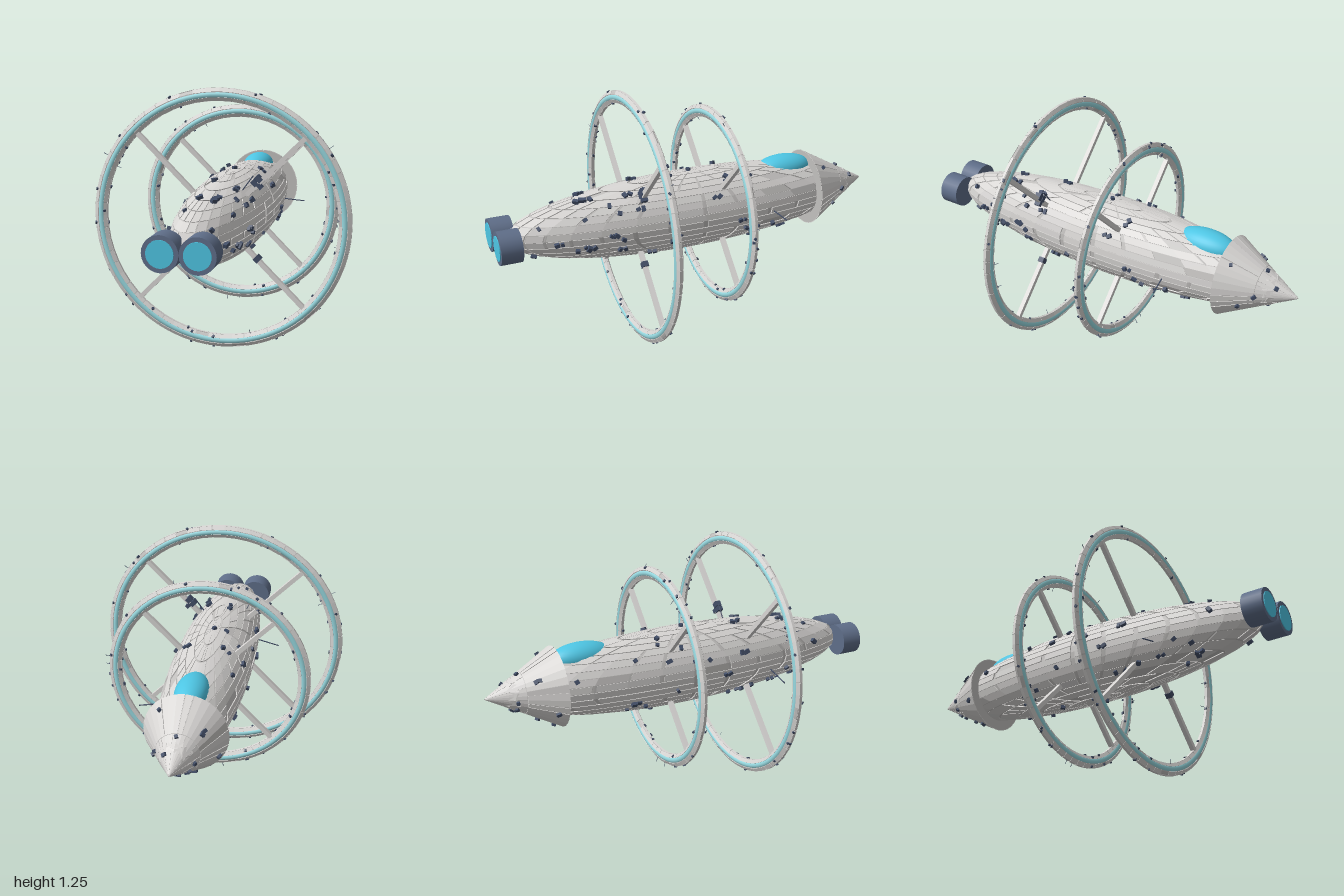
import * as THREE from 'three';
import { mergeGeometries } from 'three/addons/utils/BufferGeometryUtils.js';

const V = (x, y, z) => new THREE.Vector3(x, y, z);
const TAU = Math.PI * 2;

export function createModel() {
  const mat = (name, color, extra = {}) => {
    const m = new THREE.MeshStandardMaterial({ color, ...extra });
    m.name = name;
    return m;
  };
  const plating = mat('plating', 0xd8d6d4, { flatShading: true });
  const hull = mat('seam grey', 0xc2c0be, { flatShading: true });
  const steel = mat('engine steel', 0x5f6e89);
  const dark = mat('dark fittings', 0x434f68);
  const glow = mat('blue glow', 0x4ec6e4);
  const pale = mat('pale ring blue', 0x98dae1);

  let seed = 7;
  const rnd = (a = 0, b = 1) => {
    seed = (seed * 16807) % 2147483647;
    return a + (b - a) * (seed / 2147483647);
  };

  // everything is built around the long axis, then lifted
  const ship = new THREE.Group();
  ship.name = 'ship';
  ship.position.y = 0.627;
  const add = (name, geo, material, x = 0, y = 0, z = 0) => {
    const m = new THREE.Mesh(geo, material);
    m.name = name;
    m.position.set(x, y, z);
    ship.add(m);
    return m;
  };

  // raised plates over a surface given as surf(u, v, height), u and v in 0..1
  const plates = (surf, nu, nv, gapU, gapV, height, skip = () => false) => {
    const pos = [];
    const quad = (a, b, c, d) => [a, b, c, a, c, d].forEach(p => pos.push(p.x, p.y, p.z));
    for (let j = 0; j < nv; j++) {
      const seams = Array.from({ length: nu }, () => (rnd() < 0.5 ? gapU : 0));
      for (let i = 0; i < nu; i++) {
        if (skip(j) || rnd() < 0.03) continue;
        const u0 = (i + seams[i]) / nu, u1 = (i + 1 - seams[(i + 1) % nu]) / nu;
        const v0 = (j + gapV) / nv, v1 = (j + 1 - gapV) / nv;
        const ring = k => [surf(u0, v0, k), surf(u1, v0, k), surf(u1, v1, k), surf(u0, v1, k)];
        const lo = ring(-0.002), hi = ring(height);
        quad(...hi);
        for (let k = 0; k < 4; k++) quad(lo[k], lo[(k + 1) % 4], hi[(k + 1) % 4], hi[k]);
      }
    }
    const g = new THREE.BufferGeometry();
    g.setAttribute('position', new THREE.Float32BufferAttribute(pos, 3));
    g.computeVertexNormals();
    return g;
  };

  // small boxes or rods standing on a surface
  const fitting = (p, n, w, d, h) => {
    const g = new THREE.BoxGeometry(w, h, d);
    g.rotateY(rnd(0, TAU));
    g.translate(0, h * 0.3, 0);
    g.applyQuaternion(new THREE.Quaternion().setFromUnitVectors(V(0, 1, 0), n.clone().normalize()));
    return g.translate(p.x, p.y, p.z);
  };
  const rod = (name, a, b, r) => {
    const d = b.clone().sub(a);
    const m = add(name, new THREE.CylinderGeometry(r, r, d.length(), 6), dark);
    m.position.copy(a).add(b).multiplyScalar(0.5);
    m.quaternion.setFromUnitVectors(V(0, 1, 0), d.normalize());
  };

  // long spindle body
  const R = 0.19, L = 0.94;
  const bodySurf = (u, v, h) => {
    const a = u * TAU, b = (v - 0.5) * Math.PI;
    return V((R + h) * Math.cos(b) * Math.sin(a), (R + h) * Math.sin(b), (L + h) * Math.cos(b) * Math.cos(a));
  };
  const core = new THREE.SphereGeometry(1, 32, 18);
  core.scale(R, R, L);
  add('bodyCore', core, hull);
  add('bodyPlates', plates(bodySurf, 32, 18, 0.07, 0.05, 0.005), plating);

  const bodyBits = [];
  for (let i = 0; i < 60; i++) {
    const z = rnd(-0.6, 0.85), a = rnd(0, TAU), r = R * Math.sqrt(1 - (z / L) ** 2);
    const p = V(r * Math.cos(a), r * Math.sin(a), z);
    const n = V(p.x / R ** 2, p.y / R ** 2, p.z / L ** 2);
    if (Math.abs(p.x) < 0.09 && p.y > 0 && z < -0.35) continue;
    const count = rnd() < 0.4 ? 2 : 1;
    for (let k = 0; k < count; k++) {
      const q = p.clone().add(V(0, 0, k * 0.026));
      bodyBits.push(fitting(q, n, rnd(0.014, 0.028), rnd(0.014, 0.022), rnd(0.016, 0.026)));
    }
  }
  add('bodyFittings', mergeGeometries(bodyBits), dark);

  // nose cone with closed base
  const coneSurf = (u, v, h) => {
    const a = u * TAU, r = (1 - v) * 0.192 + h;
    return V(r * Math.cos(a), -r * Math.sin(a), -0.65 - 0.345 * v);
  };
  const cone = new THREE.ConeGeometry(0.192, 0.35, 32);
  cone.rotateX(-Math.PI / 2);
  add('noseCone', cone, hull, 0, 0, -0.825);
  add('nosePlates', plates(coneSurf, 32, 2, 0.07, 0.006, 0.004), plating);
  const noseBits = [];
  for (let i = 0; i < 14; i++) {
    const p = coneSurf(rnd(), rnd(0.1, 0.75), 0);
    noseBits.push(fitting(p, V(p.x, p.y, -0.05), rnd(0.014, 0.026), 0.016, 0.018));
  }
  add('noseFittings', mergeGeometries(noseBits), dark);

  // canopy
  const canopy = new THREE.SphereGeometry(1, 32, 20);
  canopy.scale(0.077, 0.066, 0.155);
  add('canopy', canopy, glow, 0, 0.132, -0.52);

  // twin engines
  for (const s of [-1, 1]) {
    const shell = new THREE.CylinderGeometry(0.08, 0.08, 0.103, 24);
    shell.rotateX(Math.PI / 2);
    add('engine', shell, steel, s * 0.08, 0, 0.9445);
    const disc = new THREE.CylinderGeometry(0.06, 0.06, 0.009, 32);
    disc.rotateX(Math.PI / 2);
    add('engineGlow', disc, glow, s * 0.08, 0, 0.9955);
  }

  // plated rings with a glowing band on each face, four struts each
  const buildRing = (major, z) => {
    const t = 0.03, flat = 0.56;
    const surf = (u, v, h) => {
      const a = u * TAU, b = (v - 1 / 16) * TAU, r = major + (t + h) * Math.cos(b);
      return V(r * Math.cos(a), r * Math.sin(a), (t + h) * flat * Math.sin(b));
    };
    const base = new THREE.TorusGeometry(major, t, 12, 72);
    base.scale(1, 1, flat);
    add('ringCore', base, hull, 0, 0, z);
    add('ringPlates', plates(surf, 60, 8, 0.04, 0.03, 0.003, j => j % 4 === 2), plating, 0, 0, z);
    const band = new THREE.TorusGeometry(major - 0.002, 0.019, 16, 96);
    band.scale(1, 1, 1.06);
    add('ringGlow', band, pale, 0, 0, z);

    const bits = [];
    for (let i = 0; i < 48; i++) {
      const u = rnd(), v = rnd(-0.1, 0.2) + (rnd() < 0.4 ? 0.5 : 0);
      const p = surf(u, v, 0);
      const n = p.clone().sub(V(Math.cos(u * TAU), Math.sin(u * TAU), 0).multiplyScalar(major));
      bits.push(i % 8 === 0 ? fitting(p, n, 0.002, 0.002, 0.03)
        : fitting(p, n, rnd(0.008, 0.016), 0.01, 0.009));
    }
    add('ringFittings', mergeGeometries(bits), dark, 0, 0, z);

    const len = major - 0.165;
    for (let k = 0; k < 4; k++) {
      const a = Math.PI / 4 + k * Math.PI / 2, mid = 0.15 + len / 2;
      const strut = add('strut', new THREE.BoxGeometry(len, 0.022, 0.022), plating,
        mid * Math.cos(a), mid * Math.sin(a), z);
      strut.rotation.z = a;
    }
  };
  buildRing(0.59, 0.318);
  buildRing(0.47, -0.115);

  // equipment boxes on the struts
  for (const [x, y, s] of [[0.165, 0.185, 0.024], [0.185, 0.205, 0.026], [0.19, 0.17, 0.02], [0.18, -0.175, 0.026]]) {
    const box = add('strutBox', new THREE.BoxGeometry(s, s * 1.3, 0.03), dark, x, y, 0.318);
    box.rotation.z = y > 0 ? Math.PI / 4 : -Math.PI / 4;
  }

  // antennas
  rod('antenna', V(0.15, -0.02, -0.38), V(0.28, -0.034, -0.4), 0.003);
  rod('antenna', V(-0.15, -0.055, 0.44), V(-0.275, -0.093, 0.455), 0.003);
  rod('antenna', V(0.1, 0.14, 0.31), V(0.155, 0.215, 0.31), 0.003);

  const model = new THREE.Group();
  model.name = 'ringedSpacecraft';
  model.add(ship);
  return model;
}
